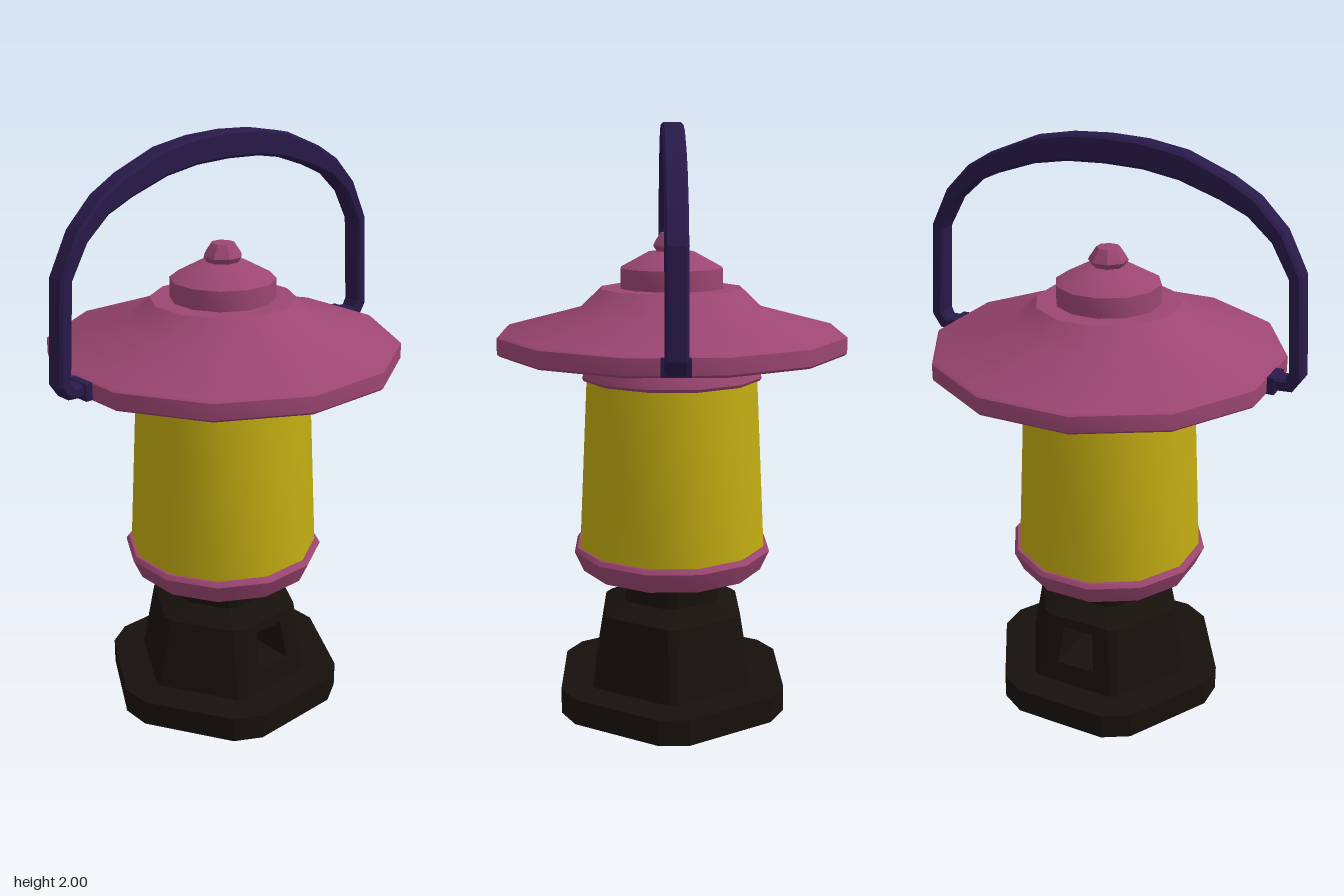
import * as THREE from 'three';
import { toCreasedNormals } from 'three/addons/utils/BufferGeometryUtils.js';

const mat = (color) => new THREE.MeshStandardMaterial({ color, roughness: 0.8 });

function addMesh(parent, name, geometry, material) {
  const mesh = new THREE.Mesh(geometry, material);
  mesh.name = name;
  parent.add(mesh);
  return mesh;
}

// Turned part with flat sides facing the axes; radii are measured to the flats
function turned(profile, sides = 12) {
  const k = 1 / Math.cos(Math.PI / sides);
  const pts = profile.map(([r, y]) => new THREE.Vector2(r * k, y));
  return toCreasedNormals(new THREE.LatheGeometry(pts, sides, Math.PI / sides), 0.56);
}

// Hexagon with clipped corners: a = distance to flats, c = distance to clipped corners
function hexRing(a, c, y) {
  const half = (a / Math.cos(Math.PI / 6) - c) * Math.sqrt(3);
  const ring = [];
  for (let k = 0; k < 6; k++) {
    const t = (k * Math.PI) / 3, cos = Math.cos(t), sin = Math.sin(t);
    for (const s of [-half, half]) {
      ring.push([cos * c - sin * s, y, sin * c + cos * s]);
    }
  }
  return ring;
}

function pedestalGeometry() {
  const pos = [];
  const quad = (a, b, c, d) => pos.push(...a, ...b, ...c, ...a, ...c, ...d);
  const rings = [
    hexRing(0.385, 0.415, 0), hexRing(0.385, 0.415, 0.09), hexRing(0.275, 0.31, 0.09),
    hexRing(0.235, 0.26, 0.34), hexRing(0.16, 0.175, 0.38), hexRing(0.16, 0.175, 0.47),
  ];
  const BODY = 2, FRONT = 3, BACK = 9;

  // Walls, leaving the front and back of the body open for the window
  for (let r = 0; r < rings.length - 1; r++) {
    for (let i = 0; i < 12; i++) {
      if (r === BODY && (i === FRONT || i === BACK)) continue;
      const j = (i + 1) % 12;
      quad(rings[r][i], rings[r + 1][i], rings[r + 1][j], rings[r][j]);
    }
  }

  // Underside and top caps
  for (let i = 0; i < 12; i++) {
    const j = (i + 1) % 12, b = rings[0], t = rings[5];
    pos.push(0, 0, 0, ...b[i], ...b[j], 0, 0.47, 0, ...t[j], ...t[i]);
  }

  // Tapered window loops lying on the sloping front and back
  const loop = (s) => [[0.07, 0.165], [0.056, 0.305], [-0.056, 0.305], [-0.07, 0.165]]
    .map(([x, y]) => [x * s, y, s * (0.275 - ((y - 0.09) / 0.25) * 0.04)]);
  const holes = [loop(1), loop(-1)];
  [FRONT, BACK].forEach((i, n) => {
    const lo = rings[BODY], hi = rings[BODY + 1], h = holes[n];
    const outer = [lo[i], hi[i], hi[i + 1], lo[i + 1]];
    for (let k = 0; k < 4; k++) {
      const m = (k + 1) % 4;
      quad(outer[k], outer[m], h[m], h[k]);
    }
  });

  // Tunnel joining the two windows
  for (let k = 0; k < 4; k++) {
    const m = (k + 1) % 4, [f, b] = holes;
    quad(f[k], f[m], b[3 - m], b[3 - k]);
  }

  const g = new THREE.BufferGeometry();
  g.setAttribute('position', new THREE.Float32BufferAttribute(pos, 3));
  g.computeVertexNormals();
  return g;
}

// Bail outline: right half of the outer and inner edges, mirrored to the left
function handleGeometry() {
  const outer = [
    [0.575, 1.265], [0.65, 1.27], [0.68, 1.315], [0.657, 1.64], [0.59, 1.77],
    [0.5, 1.86], [0.41, 1.912], [0.26, 1.972], [0.13, 1.994], [0, 2],
  ];
  const inner = [
    [0, 1.915], [0.13, 1.91], [0.25, 1.89], [0.385, 1.845], [0.475, 1.805],
    [0.555, 1.735], [0.615, 1.63], [0.636, 1.33], [0.625, 1.308], [0.575, 1.308],
  ];
  const mirror = (pts) => pts.map(([x, y]) => [-x, y]).reverse();
  const path = [
    ...outer, ...mirror(outer).slice(1),
    ...mirror(inner), ...inner.slice(1),
  ].map(([x, y]) => new THREE.Vector2(x, y));
  const bevel = 0.008;
  const g = new THREE.ExtrudeGeometry(new THREE.Shape(path), {
    depth: 0.07 - 2 * bevel, bevelEnabled: true, bevelSegments: 1,
    bevelSize: bevel, bevelThickness: bevel, bevelOffset: -bevel,
  });
  g.translate(0, 0, -0.035 + bevel);
  return toCreasedNormals(g, 0.35);
}

export function createModel() {
  const lantern = new THREE.Group();
  lantern.name = 'lantern';
  const pink = mat(0x9c4672), yellow = mat(0xc2ac12), indigo = mat(0x291a4a);
  const black = mat(0x17110c);
  black.flatShading = true;

  // Pedestal with foot, windowed body and neck
  addMesh(lantern, 'pedestal', pedestalGeometry(), black);

  // Cup holding the glass
  addMesh(lantern, 'lowerCollar', turned([
    [0, 0.455], [0.18, 0.458], [0.305, 0.49], [0.335, 0.56], [0.325, 0.575], [0, 0.575],
  ]), pink);

  // Tapered glass
  addMesh(lantern, 'glass', turned([[0.316, 0.57], [0.286, 1.165]]), yellow);

  // Upper collar, wide brim and stepped crown
  addMesh(lantern, 'lid', turned([
    [0, 1.155], [0.295, 1.155], [0.301, 1.165], [0.292, 1.19], [0.268, 1.25],
    [0.565, 1.25], [0.573, 1.258], [0.573, 1.31], [0.563, 1.318],
    [0.31, 1.388], [0.235, 1.46], [0.17, 1.46], [0.17, 1.527],
    [0.075, 1.58], [0, 1.585],
  ]), pink);

  // Knob
  addMesh(lantern, 'knob', turned([
    [0.042, 1.57], [0.061, 1.6], [0.055, 1.612], [0.036, 1.643], [0, 1.648],
  ], 8), pink);

  // Carrying handle and its hinge blocks
  addMesh(lantern, 'handle', handleGeometry(), indigo);
  for (const side of [1, -1]) {
    const hinge = addMesh(lantern, side > 0 ? 'leftHinge' : 'rightHinge',
      new THREE.BoxGeometry(0.04, 0.055, 0.09), indigo);
    hinge.position.set(side * 0.577, 1.284, 0);
  }
  return lantern;
}
